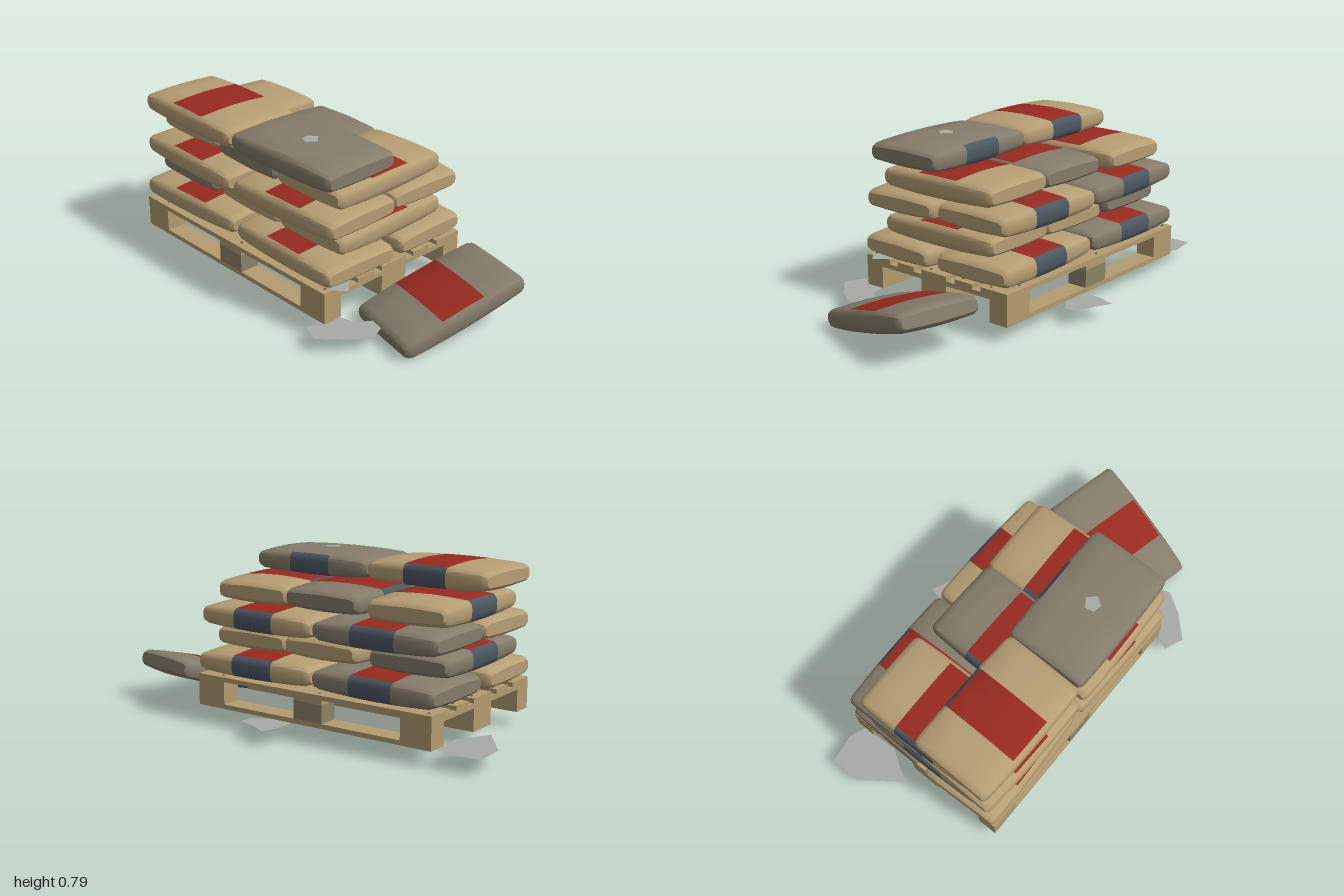
import * as THREE from 'three';
import { toCreasedNormals } from 'three/addons/utils/BufferGeometryUtils.js';

const mat = (name, color, side = THREE.FrontSide) => {
  const m = new THREE.MeshStandardMaterial({ color, side });
  m.name = name;
  return m;
};

// Pillow-shaped sack, long along x: rings lofted between two flat ends.
// Groups: 0 paper, 1 stripe on top, 2 label on the -z side.
function sackGeometry(striped) {
  const L = 0.32, W = 0.207, H = 0.06;
  const quarter = [[1, 0.3], [0.975, 0.62], [0.9, 0.84], [0.45, 0.95]];
  const back = [...quarter].reverse();
  const ring = [
    ...quarter, [0, 1], ...back.map(([z, y]) => [-z, y]),
    ...quarter.map(([z, y]) => [-z, -y]), [0, -1], ...back.map(([z, y]) => [z, -y]),
  ];
  // position along the length, width, height
  const half = [[0.35, 1, 0.97], [0.65, 0.99, 0.91], [0.91, 0.975, 0.82], [0.97, 0.95, 0.68], [1, 0.91, 0.5]];
  const sections = [...[...half].reverse().map(([u, w, h]) => [-u, w, h]), [0, 1, 1], ...half];
  const P = (i, j) => {
    const [u, w, h] = sections[i], [z, y] = ring[j % ring.length];
    return [u * L, y * h * H, z * w * W];
  };
  const parts = [[], [], []];
  const tri = (m, ...pts) => pts.forEach((p) => parts[m].push(...p));
  const last = sections.length - 1;
  for (let i = 0; i < last; i++) {
    const middle = Math.abs(sections[i][0] + sections[i + 1][0]) < 0.5;
    for (let j = 0; j < ring.length; j++) {
      let m = 0;
      if (middle && striped && j >= 2 && j <= 5) m = 1;
      if (middle && j >= 6 && j <= 10) m = 2;
      tri(m, P(i, j), P(i + 1, j), P(i + 1, j + 1));
      tri(m, P(i, j), P(i + 1, j + 1), P(i, j + 1));
    }
  }
  for (let k = 1; k < ring.length - 1; k++) {
    tri(0, P(0, 0), P(0, k), P(0, k + 1));
    tri(0, P(last, 0), P(last, k + 1), P(last, k));
  }
  const geo = new THREE.BufferGeometry();
  geo.setAttribute('position', new THREE.Float32BufferAttribute(parts.flat(), 3));
  let start = 0;
  parts.forEach((p, m) => {
    if (p.length) geo.addGroup(start, p.length / 3, m);
    start += p.length / 3;
  });
  return toCreasedNormals(geo, Math.PI / 5);
}

export function createModel() {
  const model = new THREE.Group();
  const wood = mat('pale wood', 0xb39c70);
  const oldWood = mat('weathered wood', 0x8c8368);
  const tan = mat('tan paper', 0xb69e74);
  const grey = mat('dusty grey paper', 0x857c6b);
  const red = mat('red stripe', 0x982a20);
  const blue = mat('slate label', 0x4c5862);
  const film = mat('torn film', 0xa8aaa6, THREE.DoubleSide);
  const steel = mat('nail steel', 0x5c5a55);

  const add = (parent, name, geo, material, x, y, z) => {
    const mesh = new THREE.Mesh(geo, material);
    mesh.name = name;
    mesh.position.set(x, y, z);
    parent.add(mesh);
    return mesh;
  };

  // Pallet: runners, blocks, cross boards, deck boards
  const pallet = new THREE.Group();
  pallet.name = 'pallet';
  model.add(pallet);
  const cx = -0.135;
  const columns = [-0.7025, cx, 0.4325];
  const rows = [[0.41, 0.1], [0.032, 0.153], [-0.35, 0.1]];
  for (const [z, d] of rows) {
    add(pallet, 'runner', new THREE.BoxGeometry(1.29, 0.022, d), wood, cx, 0.085, z);
    columns.forEach((x, i) => add(pallet, 'block', new THREE.BoxGeometry(0.155, 0.086, d),
      i === 1 ? oldWood : wood, x, 0.139, z));
  }
  for (const x of columns) {
    add(pallet, 'crossBoard', new THREE.BoxGeometry(0.155, 0.022, 0.86), wood, x, 0.193, 0.03);
  }
  const nail = new THREE.CylinderGeometry(0.006, 0.006, 0.004, 8);
  for (const [z, d] of [[0.385, 0.15], [0.208, 0.103], [0.032, 0.153], [-0.147, 0.103], [-0.325, 0.15]]) {
    add(pallet, 'deckBoard', new THREE.BoxGeometry(1.29, 0.022, d), wood, cx, 0.215, z);
    for (const x of columns) {
      for (const s of [-1, 1]) add(pallet, 'nail', nail, steel, x + s * 0.045, 0.227, z + s * d * 0.28);
    }
  }

  // Stacked sacks: layers alternate lengthwise and crosswise
  const stripedSack = sackGeometry(true), plainSack = sackGeometry(false);
  const addSack = (paper, x, y, z, yaw, geo = stripedSack) => {
    const sack = add(model, 'sack', geo, [paper, red, blue], x, y, z);
    sack.rotation.order = 'YXZ';
    sack.rotation.y = THREE.MathUtils.degToRad(yaw);
    return sack;
  };
  const layers = [
    [0.286, [[tan, -0.475, 0.245, 2], [tan, 0.21, 0.245, -1.5], [grey, -0.465, -0.19, -1], [tan, 0.2, -0.19, 1.5]]],
    [0.397, [[grey, -0.577, 0.04, 90.5], [tan, -0.12, 0.03, 89], [tan, 0.29, 0.03, 91]]],
    [0.509, [[tan, -0.465, 0.245, -1.5], [tan, 0.2, 0.243, 1.5], [grey, -0.465, -0.185, 1], [tan, 0.18, -0.187, -1.5]]],
    [0.618, [[tan, -0.58, 0.015, 90.5], [grey, -0.12, 0.04, 89], [tan, 0.287, 0.038, 91]]],
    [0.725, [[tan, -0.47, 0.235, -1], [grey, 0.178, 0.23, 0.7, plainSack]]],
  ];
  for (const [y, sacks] of layers) {
    for (const [paper, x, z, yaw, geo] of sacks) addSack(paper, x, y, z, yaw, geo);
  }

  // Sack fallen beside the pallet, its rear end propped up
  const fallen = addSack(grey, 0.762, 0.127, -0.01, 77);
  fallen.name = 'fallenSack';
  fallen.rotation.z = THREE.MathUtils.degToRad(15.6);

  // Torn film scraps, outlined in x and z
  const scrap = (name, y, points) => {
    const shape = new THREE.Shape(points.map(([x, z]) => new THREE.Vector2(x, z)));
    add(model, name, new THREE.ShapeGeometry(shape).rotateX(Math.PI / 2), film, 0, y, 0);
  };
  scrap('scrapLeft', 0.073, [[-1, -0.37], [-0.86, -0.39], [-0.78, -0.36], [-0.77, -0.18], [-0.81, -0.12], [-0.86, -0.03], [-1, -0.22]]);
  scrap('scrapBack', 0.073, [[-0.02, -0.58], [0.06, -0.54], [0.16, -0.51], [0.165, -0.45], [0.09, -0.4], [0.02, -0.37], [-0.05, -0.41], [-0.045, -0.49]]);
  scrap('scrapFront', 0.073, [[0.5, 0.37], [0.58, 0.35], [0.63, 0.28], [0.69, 0.28], [0.725, 0.37], [0.66, 0.47], [0.56, 0.57], [0.465, 0.53], [0.51, 0.44]]);
  scrap('scrapOnDeck', 0.231, [[0.43, 0.3], [0.51, 0.31], [0.565, 0.37], [0.51, 0.42], [0.44, 0.4]]);
  scrap('scrapOnSack', 0.788, [[0.15, 0.23], [0.19, 0.2], [0.23, 0.24], [0.2, 0.28], [0.16, 0.27]]);
  return model;
}
